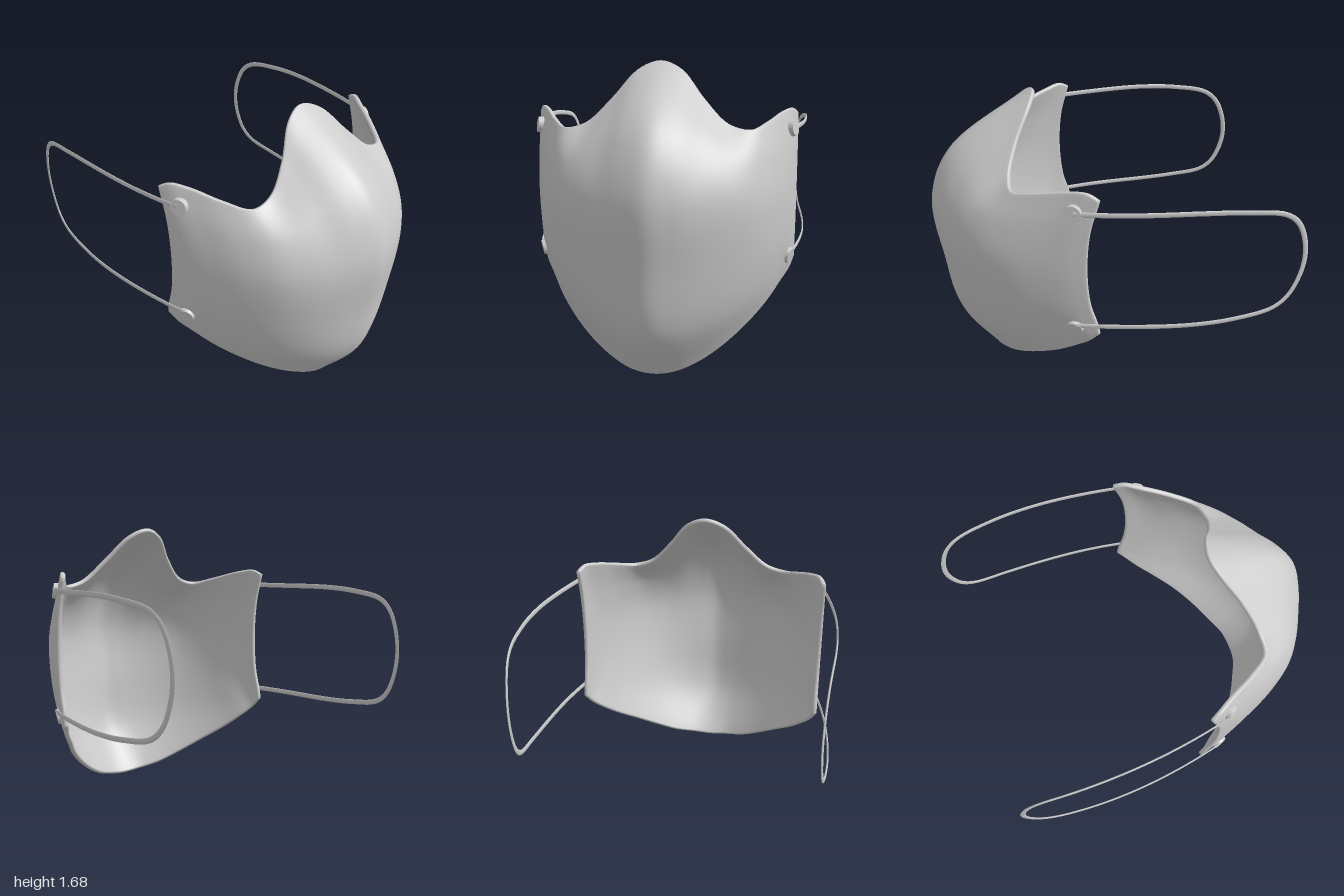
import * as THREE from 'three';

// Half of the mask, centre to side: x, then [y, z] from the bottom edge to the top edge
const STATIONS = [
  [0, [[.008, .71], [.3, .91], [.65, .97], [1.05, 1.0], [1.35, .87], [1.682, .392]]],
  [.12, [[.023, .695], [.3, .88], [.65, .945], [1.05, .97], [1.33, .84], [1.635, .425]]],
  [.25, [[.065, .63], [.33, .82], [.65, .895], [1.02, .915], [1.27, .79], [1.485, .51]]],
  [.38, [[.14, .55], [.37, .73], [.67, .82], [1.0, .845], [1.2, .755], [1.36, .56]]],
  [.5, [[.23, .45], [.42, .61], [.68, .71], [.98, .75], [1.17, .68], [1.327, .55]]],
  [.6, [[.32, .34], [.48, .47], [.7, .57], [.97, .605], [1.17, .54], [1.36, .42]]],
  [.68, [[.415, .235], [.53, .31], [.72, .40], [.97, .43], [1.2, .37], [1.4, .27]]],
  [.73, [[.48, .175], [.56, .22], [.73, .27], [.97, .30], [1.2, .265], [1.41, .185]]],
  [.757, [[.54, .13], [.6, .14], [.74, .178], [.97, .195], [1.2, .178], [1.385, .13]]],
];
const NU = 96, NV = 48, R = 0.014;

// Smooth grid of points and normals for the outer face
function outerFace() {
  const half = STATIONS.map(([x, p]) => p.map(([y, z]) => new THREE.Vector3(x, y, z)));
  const mirrored = half.slice(1).reverse().map(col => col.map(p => new THREE.Vector3(-p.x, p.y, p.z)));
  const all = [...mirrored, ...half];
  const rows = half[0].map((_, k) => new THREE.CatmullRomCurve3(all.map(col => col[k])));
  const grid = [];
  for (let i = 0; i <= NU; i++) {
    const column = new THREE.CatmullRomCurve3(rows.map(r => r.getPoint(i / NU)));
    grid.push(Array.from({ length: NV + 1 }, (_, j) => column.getPoint(j / NV)));
  }
  const normals = grid.map((col, i) => col.map((_, j) => {
    const du = grid[Math.min(i + 1, NU)][j].clone().sub(grid[Math.max(i - 1, 0)][j]);
    const dv = col[Math.min(j + 1, NV)].clone().sub(col[Math.max(j - 1, 0)]);
    return du.cross(dv).normalize();
  }));
  return { grid, normals };
}

// Outer face, inner face and a rounded rim joining them
function shellGeometry() {
  const { grid, normals } = outerFace();
  const pos = [], index = [];
  const add = p => pos.push(p.x, p.y, p.z) / 3 - 1;
  const quad = (a, b, c, d) => index.push(a, b, c, a, c, d);
  const outer = grid.map(col => col.map(add));
  const inner = grid.map((col, i) => col.map((p, j) => add(p.clone().addScaledVector(normals[i][j], -2 * R))));
  for (let i = 0; i < NU; i++) for (let j = 0; j < NV; j++) {
    quad(outer[i][j], outer[i + 1][j], outer[i + 1][j + 1], outer[i][j + 1]);
    quad(inner[i][j], inner[i][j + 1], inner[i + 1][j + 1], inner[i + 1][j]);
  }
  const edge = [];
  for (let i = 0; i < NU; i++) edge.push([i, 0]);
  for (let j = 0; j < NV; j++) edge.push([NU, j]);
  for (let i = NU; i > 0; i--) edge.push([i, NV]);
  for (let j = NV; j > 0; j--) edge.push([0, j]);
  const n = edge.length, STEPS = 6;
  const at = k => { const [i, j] = edge[(k + n) % n]; return grid[i][j]; };
  const rim = edge.map(([i, j], k) => {
    const normal = normals[i][j];
    const out = at(k + 2).clone().sub(at(k - 2)).cross(normal).normalize();
    const ring = [outer[i][j]];
    for (let s = 1; s < STEPS; s++) {
      const a = Math.PI * s / STEPS;
      ring.push(add(grid[i][j].clone()
        .addScaledVector(normal, R * (Math.cos(a) - 1))
        .addScaledVector(out, 0.01 * Math.sin(a))));
    }
    ring.push(inner[i][j]);
    return ring;
  });
  rim.forEach((ring, k) => {
    const next = rim[(k + 1) % n];
    for (let s = 0; s < STEPS; s++) quad(ring[s], ring[s + 1], next[s + 1], next[s]);
  });
  const geo = new THREE.BufferGeometry();
  geo.setAttribute('position', new THREE.Float32BufferAttribute(pos, 3));
  geo.setIndex(index);
  geo.computeVertexNormals();
  return geo;
}

// Flat band following a loop in the side plane, bowed outward along its length
function earLoopGeometry(side) {
  const upper = [[1.315, .25], [1.315, 0], [1.315, -.4], [1.3, -.62], [1.262, -.83], [1.2, -.91], [1.09, -.962]];
  const lower = upper.map(([y, z]) => [1.92 - y, z]).reverse();
  const path = new THREE.CatmullRomCurve3(
    [...upper, [.96, -.982], ...lower].map(([y, z]) => new THREE.Vector3(0, y, z)));
  const geo = new THREE.TubeGeometry(path, 160, 0.015, 10, false);
  const p = geo.attributes.position;
  for (let i = 0; i < p.count; i++) {
    const d = p.getZ(i) + 0.5;
    const bow = 0.829 - (d > 0 ? 0.155 : 0.175) * d * d;
    p.setX(i, side * bow + p.getX(i) * 0.35);
  }
  geo.computeVertexNormals();
  return geo;
}

export function createModel() {
  const model = new THREE.Group();
  const material = new THREE.MeshStandardMaterial({ color: 0xcccccc });
  const addMesh = (name, geometry) => {
    const mesh = new THREE.Mesh(geometry, material);
    mesh.name = name;
    model.add(mesh);
    return mesh;
  };

  addMesh('maskShell', shellGeometry());

  const up = new THREE.Vector3(0, 1, 0);
  for (const [side, label] of [[1, 'Left'], [-1, 'Right']]) {
    addMesh('earLoop' + label, earLoopGeometry(side));
    // Round strap anchors lying on the shell
    for (const [name, x, y, lean] of [['upperAnchor', .727, 1.31, .3], ['lowerAnchor', .722, .575, -.45]]) {
      const anchor = addMesh(name + label, new THREE.CylinderGeometry(0.044, 0.048, 0.03, 32));
      anchor.position.set(side * x, y, .25);
      anchor.quaternion.setFromUnitVectors(up, new THREE.Vector3(side * 2, lean, .9).normalize());
    }
  }
  return model;
}
